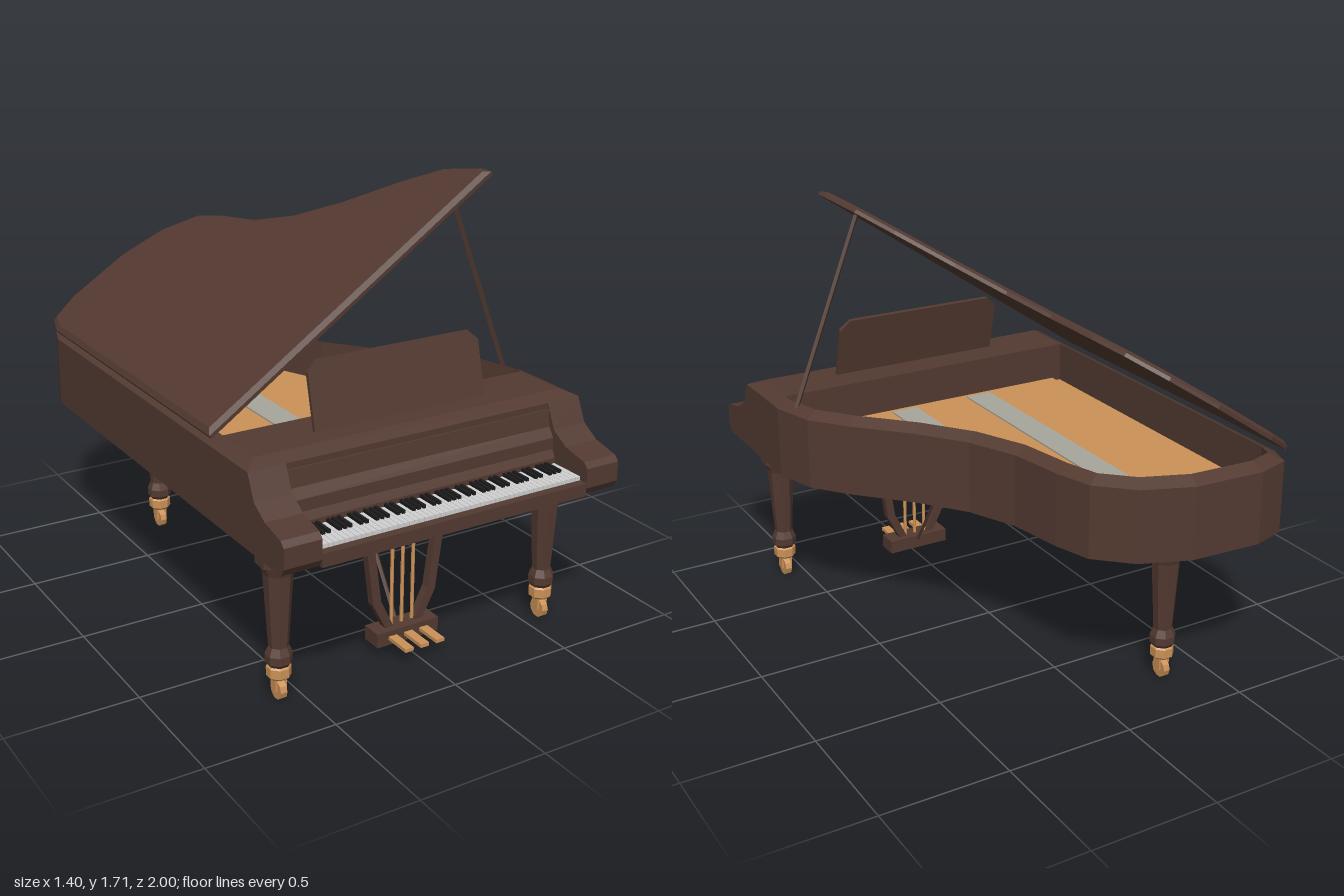
import * as THREE from 'three';

const mat = (name, color) => Object.assign(new THREE.MeshStandardMaterial({ color }), { name });
const V2 = (x, y) => new THREE.Vector2(x, y);

// Flat facets on any geometry
function facet(geo) {
  const g = geo.index ? geo.toNonIndexed() : geo;
  g.computeVertexNormals();
  return g;
}

// Case plan as [x, z], clockwise from above, starting at the front left corner
const curve = [[-0.7, -0.87], [-0.67, -0.96], [-0.54, -1], [-0.26, -0.985], [-0.07, -0.91], [0.055, -0.79],
  [0.1, -0.645], [0.14, -0.43], [0.225, -0.24], [0.36, -0.06], [0.54, 0.13], [0.65, 0.27], [0.7, 0.44]];
const plan = (front) => [[-0.7, front], ...curve, [0.7, front]];

// Mitred inset of a closed plan
function inset(pts, d) {
  const n = pts.length;
  const normal = (a, b) => V2(-(b[1] - a[1]), b[0] - a[0]).normalize();
  return pts.map((p, i) => {
    const n1 = normal(pts[(i + n - 1) % n], p), n2 = normal(p, pts[(i + 1) % n]);
    const k = d / (1 + n1.dot(n2));
    return [p[0] + (n1.x + n2.x) * k, p[1] + (n1.y + n2.y) * k];
  });
}

// Skin between stacked closed rings [plan, y]
function loft(rings) {
  const pos = [];
  for (let r = 0; r + 1 < rings.length; r++) {
    const [lo, y0] = rings[r], [hi, y1] = rings[r + 1];
    lo.forEach((p, i) => {
      const j = (i + 1) % lo.length;
      const a = [p[0], y0, p[1]], b = [lo[j][0], y0, lo[j][1]];
      const c = [hi[j][0], y1, hi[j][1]], d = [hi[i][0], y1, hi[i][1]];
      pos.push(...a, ...c, ...b, ...a, ...d, ...c);
    });
  }
  const g = new THREE.BufferGeometry();
  g.setAttribute('position', new THREE.Float32BufferAttribute(pos, 3));
  return facet(g);
}

// Flat board cut to a plan between two heights
function slab(pts, y0, y1) {
  const shape = new THREE.Shape(pts.map(([x, z]) => V2(x, -z)));
  return new THREE.ExtrudeGeometry(shape, { depth: y1 - y0, bevelEnabled: false })
    .rotateX(-Math.PI / 2).translate(0, y0, 0);
}

// Side profile [z, y] extruded from x0 to x1
function sideExtrude(profile, x0, x1) {
  const shape = new THREE.Shape(profile.map(([z, y]) => V2(-z, y)));
  return new THREE.ExtrudeGeometry(shape, { depth: x1 - x0, bevelEnabled: false })
    .rotateY(Math.PI / 2).translate(x0, 0, 0);
}

export function createModel() {
  const wood = mat('dark wood', 0x533a31);
  const gold = mat('warm gold', 0xcc9257);
  const ivory = mat('ivory', 0xd0d0d0);
  const ebony = mat('ebony', 0x1c1a1a);
  const steel = mat('string grey', 0xa6a69c);

  const model = new THREE.Group();
  const add = (name, geo, material, parent = model) => {
    const m = new THREE.Mesh(geo, material);
    m.name = name;
    parent.add(m);
    return m;
  };
  const box = (name, x, y, z, w, h, d, material, parent) =>
    add(name, new THREE.BoxGeometry(w, h, d).translate(x, y, z), material, parent);
  const rod = (name, a, b, r, material, sides = 6) => {
    const from = new THREE.Vector3(...a), to = new THREE.Vector3(...b);
    const m = add(name, facet(new THREE.CylinderGeometry(r, r, from.distanceTo(to), sides)), material);
    m.position.copy(from).add(to).multiplyScalar(0.5);
    m.quaternion.setFromUnitVectors(new THREE.Vector3(0, 1, 0), to.sub(from).normalize());
  };

  // Case: bent rim with sloped top edge, bottom board, soundboard and plate
  const outer = plan(0.764), inner = inset(outer, 0.055);
  add('rim', loft([[outer, 0.605], [outer, 0.888], [inner, 0.913], [inner, 0.74]]), wood);
  add('bottomBoard', slab(outer, 0.605, 0.62), wood);
  add('soundboard', slab(inner, 0.735, 0.75), gold);
  add('plate', slab(inset(plan(0.58), 0.1), 0.75, 0.768), gold);
  box('frontDeck', 0, 0.83, 0.6, 1.29, 0.166, 0.22, wood);
  box('longStrings', -0.21, 0.77, -0.145, 0.11, 0.008, 1.19, steel);
  box('shortStrings', 0.14, 0.77, 0.21, 0.11, 0.008, 0.48, steel);

  // Cheeks, fallboard and key slip
  const cheek = [[0.76, 0.605], [0.98, 0.605], [1, 0.635], [1, 0.71], [0.98, 0.73], [0.877, 0.753],
    [0.807, 0.796], [0.764, 0.888], [0.76, 0.888]];
  add('rightCheek', sideExtrude(cheek, -0.7, -0.555), wood);
  add('leftCheek', sideExtrude(cheek, 0.555, 0.7), wood);
  add('fallboard', sideExtrude([[0.76, 0.61], [0.82, 0.61], [0.82, 0.69], [0.805, 0.72], [0.805, 0.765],
    [0.78, 0.8], [0.772, 0.865], [0.76, 0.865]], -0.555, 0.555), wood);
  box('keyBed', 0, 0.627, 0.885, 1.11, 0.044, 0.17, wood);
  box('keySlip', 0, 0.63, 0.982, 1.11, 0.05, 0.034, wood);

  // Keyboard: 52 naturals and the sharps between them
  const keys = new THREE.Group();
  keys.name = 'keyboard';
  model.add(keys);
  const pitch = 1.11 / 52;
  for (let i = 0; i < 52; i++) {
    const x = -0.555 + pitch * (i + 0.5);
    box('whiteKey', x, 0.659, 0.893, pitch - 0.0018, 0.022, 0.144, ivory, keys);
    if (i < 51 && [0, 2, 3, 5, 6].includes(i % 7))
      box('blackKey', x + pitch / 2, 0.674, 0.861, 0.0125, 0.016, 0.082, ebony, keys);
  }

  // Lid hinged open along the straight side
  const lid = new THREE.Group();
  lid.name = 'lid';
  const lidPlan = plan(0.502).map(([x, z]) => [x + 0.7, z]), lidTop = inset(lidPlan, 0.022);
  add('lidBoard', slab(lidPlan, 0, 0.014), wood, lid);
  add('lidBevel', loft([[lidPlan, 0.014], [lidTop, 0.026]]), wood, lid);
  add('lidTop', slab(lidTop, 0.012, 0.026), wood, lid);
  lid.position.set(-0.695, 0.914, 0);
  lid.rotation.z = 0.596;
  model.add(lid);
  rod('lidProp', [0.645, 0.9, 0.382], [0.362, 1.635, 0.382], 0.01, wood, 4);

  // Music desk leaning back
  const deskShape = new THREE.Shape([[-0.362, 0], [0.362, 0], [0.362, 0.21], [0.318, 0.25], [-0.318, 0.25],
    [-0.362, 0.21]].map((p) => V2(...p)));
  const desk = add('musicDesk', new THREE.ExtrudeGeometry(deskShape, { depth: 0.015, bevelEnabled: false }), wood);
  desk.position.set(0, 0.91, 0.618);
  desk.rotation.x = -0.235;

  // Eight-sided legs with gold casters
  const turned = (profile) => facet(new THREE.LatheGeometry(
    profile.map(([h, y]) => V2(h / Math.cos(Math.PI / 8), y)), 8, Math.PI / 8));
  for (const [name, x, z] of [['frontRightLeg', -0.58, 0.75], ['frontLeftLeg', 0.58, 0.75], ['backLeg', -0.32, -0.75]]) {
    const leg = new THREE.Group();
    leg.name = name;
    add('legPost', turned([[0, 0.135], [0.036, 0.135], [0.046, 0.15], [0.046, 0.18], [0.034, 0.21], [0.05, 0.49],
      [0.062, 0.53], [0.073, 0.53], [0.073, 0.606]]), wood, leg);
    add('ferrule', turned([[0, 0.085], [0.032, 0.085], [0.042, 0.095], [0.042, 0.13], [0.036, 0.137], [0, 0.137]]), gold, leg);
    for (const s of [-1, 1]) box('casterFork', s * 0.019, 0.062, 0, 0.008, 0.055, 0.034, gold, leg);
    add('casterWheel', facet(new THREE.CylinderGeometry(0.038, 0.038, 0.026, 10)).rotateZ(Math.PI / 2)
      .translate(0, 0.037, 0), gold, leg);
    leg.position.set(x, 0, z);
    model.add(leg);
  }

  // Pedal lyre
  box('lyreHead', 0, 0.572, 0.655, 0.305, 0.066, 0.06, wood);
  box('pedalBox', 0, 0.067, 0.658, 0.27, 0.056, 0.085, wood);
  const arm = [[0.108, 0.55], [0.167, 0.43], [0.137, 0.2], [0.08, 0.09], [0.045, 0.09], [0.103, 0.21], [0.133, 0.425], [0.073, 0.55]];
  for (const s of [-1, 1]) {
    const shape = new THREE.Shape(arm.map(([x, y]) => V2(s * x, y)));
    add(s < 0 ? 'rightLyreArm' : 'leftLyreArm', new THREE.ExtrudeGeometry(shape,
      { depth: 0.034, bevelEnabled: false }).translate(0, 0, 0.638), wood);
  }
  for (const s of [-1, 0, 1]) {
    rod('lyreRod', [s * 0.046, 0.09, 0.655], [s * 0.046, 0.55, 0.655], 0.007, gold);
    box('pedal', s * 0.068, 0.067, 0.75, 0.036, 0.014, 0.12, gold);
  }
  rod('lyreBrace', [0, 0.08, 0.62], [0, 0.615, 0.272], 0.009, wood, 4);

  return model;
}
